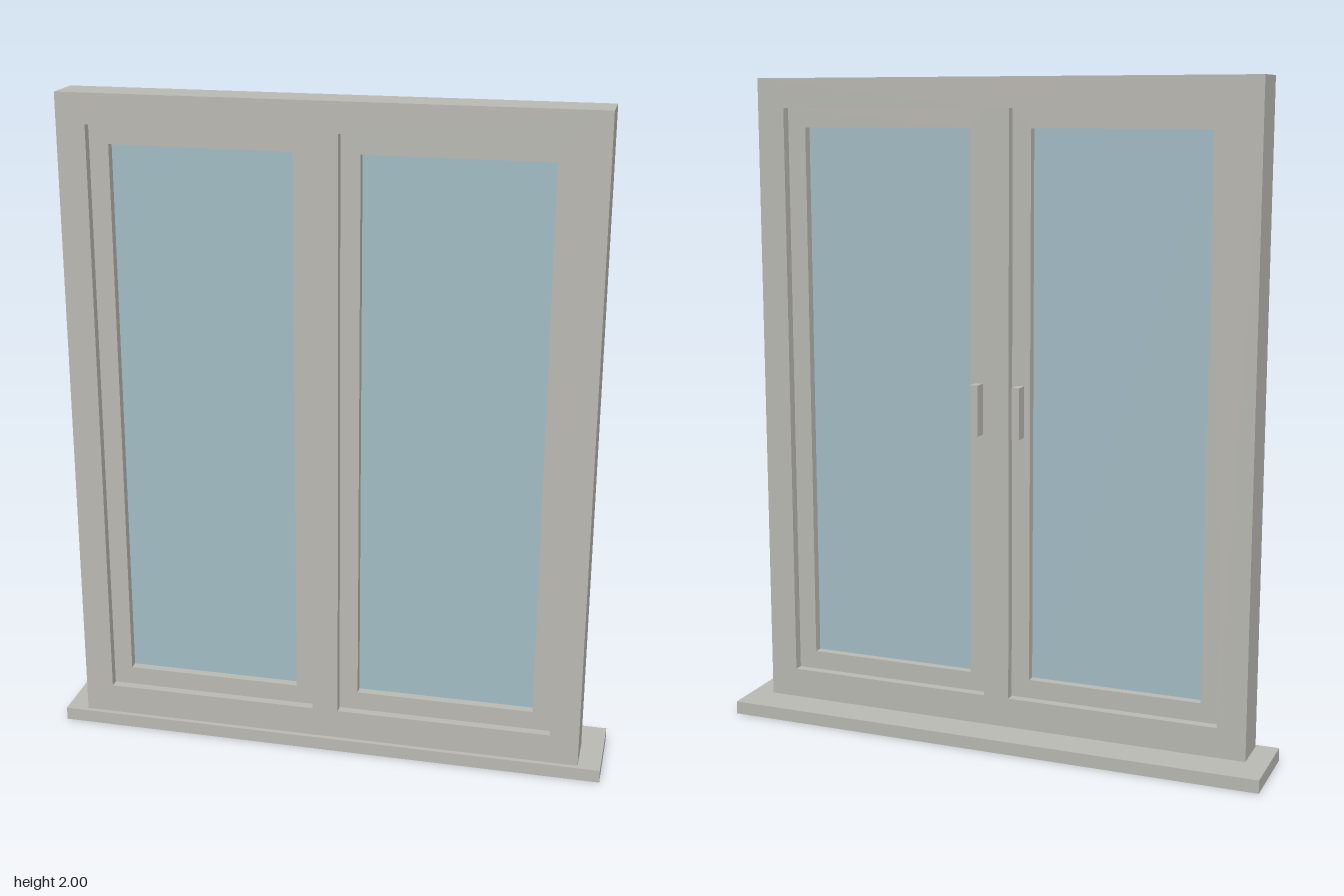
import * as THREE from 'three';

const frameMat = new THREE.MeshStandardMaterial({ color: 0xbdbcb6 });
frameMat.name = 'warm grey paint';
const glassMat = new THREE.MeshStandardMaterial({ color: 0xa5bfc8 });
glassMat.name = 'pale blue glass';

// Box given by its minimum and maximum corners
function box(name, mat, [x0, y0, z0], [x1, y1, z1]) {
  const mesh = new THREE.Mesh(new THREE.BoxGeometry(x1 - x0, y1 - y0, z1 - z0), mat);
  mesh.position.set((x0 + x1) / 2, (y0 + y1) / 2, (z0 + z1) / 2);
  mesh.name = name;
  return mesh;
}

function rectPoints([x0, y0, x1, y1]) {
  return [[x0, y0], [x1, y0], [x1, y1], [x0, y1]].map(([x, y]) => new THREE.Vector2(x, y));
}

// Flat panel with rectangular openings, between two depths
function panel(name, outer, openings, z0, z1) {
  const shape = new THREE.Shape(rectPoints(outer));
  for (const o of openings) shape.holes.push(new THREE.Path(rectPoints(o)));
  const geo = new THREE.ExtrudeGeometry(shape, { depth: z1 - z0, bevelEnabled: false });
  geo.translate(0, 0, z0);
  const mesh = new THREE.Mesh(geo, frameMat);
  mesh.name = name;
  return mesh;
}

export function createModel() {
  const model = new THREE.Group();
  model.name = 'window';

  // Sill and outer frame with centre mullion
  model.add(box('sill', frameMat, [-0.85, 0, -0.13], [0.85, 0.04, 0.13]));
  model.add(panel('outerFrame', [-0.782, 0.04, 0.782, 2],
    [[-0.695, 0.132, -0.04, 1.911], [0.04, 0.132, 0.695, 1.911]], -0.013, 0.115));

  // Two mirrored casements: sash, pane and inside handle
  for (const s of [-1, 1]) {
    const casement = new THREE.Group();
    casement.name = s > 0 ? 'leftCasement' : 'rightCasement';
    const span = (a, b) => (s > 0 ? [a, b] : [-b, -a]);
    const [sx0, sx1] = span(0.04, 0.695);
    const [gx0, gx1] = span(0.097, 0.637);
    const [hx0, hx1] = span(0.054, 0.078);
    casement.add(panel('sash', [sx0, 0.132, sx1, 1.911], [[gx0, 0.19, gx1, 1.853]], 0.016, 0.088));
    casement.add(box('glassPane', glassMat, [gx0, 0.19, 0.043], [gx1, 1.853, 0.061]));
    casement.add(box('handle', frameMat, [hx0, 0.945, -0.026], [hx1, 1.1, 0.016]));
    model.add(casement);
  }
  return model;
}
